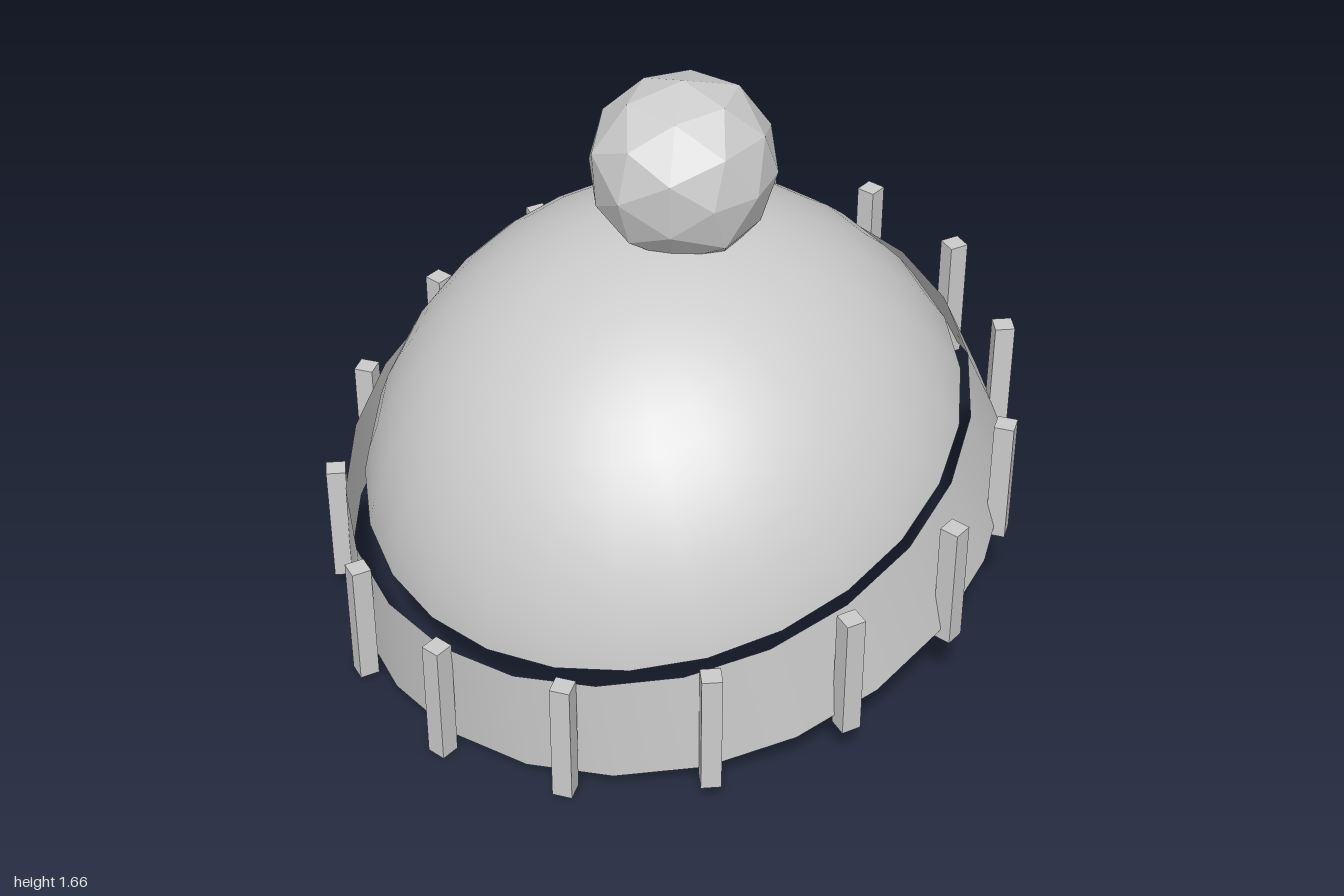
import * as THREE from 'three';
import { mergeVertices } from 'three/addons/utils/BufferGeometryUtils.js';

const TILT = 0.27; // the hat dips towards the front
const SQUEEZE = 0.955; // slightly narrower than deep

const material = (options = {}) => new THREE.MeshStandardMaterial({ color: 0xcccccc, ...options });

function addMesh(parent, name, geometry, mat) {
  const mesh = new THREE.Mesh(geometry, mat);
  mesh.name = name;
  parent.add(mesh);
  return mesh;
}

// Irregular faceted ball: each corner is pushed in or out a little
function makePomPom(radius) {
  let geometry = new THREE.IcosahedronGeometry(radius, 1);
  geometry.deleteAttribute('normal');
  geometry.deleteAttribute('uv');
  geometry = mergeVertices(geometry, 1e-4);
  const p = geometry.attributes.position;
  const v = new THREE.Vector3();
  for (let i = 0; i < p.count; i++) {
    v.fromBufferAttribute(p, i);
    v.multiplyScalar(1 + 0.025 * Math.sin(i * 2.7));
    p.setXYZ(i, v.x, v.y, v.z);
  }
  geometry.computeVertexNormals();
  return geometry;
}

export function createModel() {
  const model = new THREE.Group();
  model.name = 'knittedHat';
  const thin = material({ side: THREE.DoubleSide });

  // Dome: an open, tilted cap of a sphere
  const dome = addMesh(model, 'dome',
    new THREE.SphereGeometry(0.942, 26, 12, 0, Math.PI * 2, 0, 1.235), thin);
  dome.position.set(0, 0.302, -0.054);
  dome.rotation.x = TILT;
  dome.scale.x = SQUEEZE;

  // Band: an open tapered ring standing clear of the dome's rim
  const bandHeight = 0.32;
  const bandGeometry = new THREE.CylinderGeometry(0.93, 1.0, bandHeight, 24, 1, true);
  bandGeometry.translate(0, bandHeight / 2, 0);
  const band = addMesh(model, 'band', bandGeometry, thin);
  band.position.set(0, 0.3, -0.035);
  band.rotation.x = TILT;
  band.scale.x = SQUEEZE;

  // Ribs: upright bars that follow the slope of the band
  const ribs = new THREE.Group();
  ribs.name = 'ribs';
  const ribGeometry = new THREE.BoxGeometry(0.056, 0.376, 0.056);
  const ribMaterial = material();
  for (let i = 0; i < 16; i++) {
    const a = (i / 16) * Math.PI * 2;
    const s = Math.sin(a), c = Math.cos(a);
    const rib = addMesh(ribs, 'rib', ribGeometry, ribMaterial);
    rib.position.set(0.957 * s * (1 + 0.04 * c), 0.455 - 0.264 * c, 0.968 * c - 0.06 * s * s);
    rib.rotation.y = a;
  }
  model.add(ribs);

  // Pom-pom on the crown
  const pomPom = addMesh(model, 'pomPom', makePomPom(0.266), material({ flatShading: true }));
  pomPom.position.set(-0.008, 1.398, -0.078);

  return model;
}
